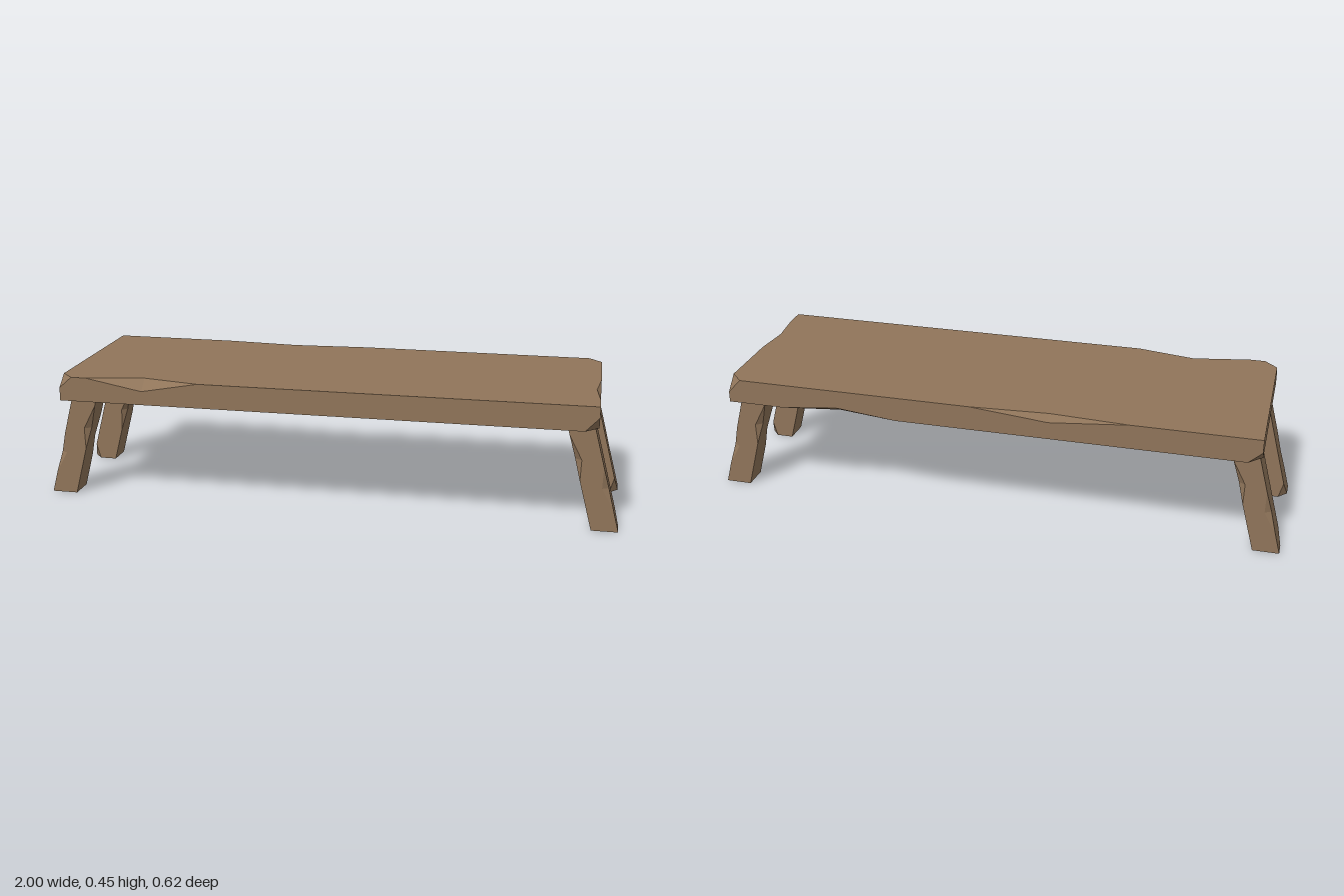
import * as THREE from 'three';

const wood = new THREE.MeshStandardMaterial({ color: 0x90755a });
wood.name = 'weathered wood';

// Box from min to max with hewn damage:
// corners: { at: signs, cut: lengths } slice a corner off;
// notches: { axis, at: signs, span: [from, apex, to], depth } carve a V into an edge.
function hewnBox(min, max, corners, notches) {
  const positions = [];
  const place = (signs) => signs.map((s, i) => (s > 0 ? max[i] : min[i]));
  const same = (a, b) => a.every((s, i) => s === b[i]);

  // Adds a triangle turned towards the outward direction
  const addTriangle = (a, b, c, outward) => {
    const [p, q, r] = [a, b, c].map((t) => new THREE.Vector3(...t));
    const normal = q.clone().sub(p).cross(r.clone().sub(p));
    const order = normal.dot(new THREE.Vector3(...outward)) > 0 ? [a, b, c] : [a, c, b];
    order.forEach((t) => positions.push(...t));
  };

  const towards = (corner, other, cut) => {
    const p = place(corner);
    corner.forEach((s, i) => { if (s !== other[i]) p[i] -= s * cut[i]; });
    return p;
  };
  const onEdge = (notch, value) => {
    const p = place(notch.at);
    p[notch.axis] = value;
    return p;
  };
  const apex = (notch, faceAxis) => {
    const p = onEdge(notch, notch.span[1]);
    const inset = 3 - faceAxis - notch.axis;
    p[inset] -= notch.at[inset] * notch.depth[inset];
    return p;
  };

  // Six faces, each outlined around its chips
  for (let axis = 0; axis < 3; axis++) {
    const u = (axis + 1) % 3, v = (axis + 2) % 3;
    for (const side of [-1, 1]) {
      const ring = [[-1, -1], [1, -1], [1, 1], [-1, 1]].map(([a, b]) => {
        const signs = [0, 0, 0];
        signs[axis] = side; signs[u] = a; signs[v] = b;
        return signs;
      });
      const outline = [];
      ring.forEach((corner, i) => {
        const next = ring[(i + 1) % 4], previous = ring[(i + 3) % 4];
        const chip = corners.find((c) => same(c.at, corner));
        if (chip) outline.push(towards(corner, previous, chip.cut), towards(corner, next, chip.cut));
        else outline.push(place(corner));

        const along = corner.findIndex((s, k) => s !== next[k]);
        notches
          .filter((n) => n.axis === along && n.at.every((s, k) => k === along || s === corner[k]))
          .forEach((n) => {
            const points = [onEdge(n, n.span[0]), apex(n, axis), onEdge(n, n.span[2])];
            const rising = n.span[2] > n.span[0];
            outline.push(...((next[along] > 0) === rising ? points : points.reverse()));
          });
      });
      const outward = [0, 0, 0];
      outward[axis] = side;
      const flat = outline.map((p) => new THREE.Vector2(p[u], p[v]));
      THREE.ShapeUtils.triangulateShape(flat, []).forEach(([a, b, c]) =>
        addTriangle(outline[a], outline[b], outline[c], outward));
    }
  }

  // Facets of the cut corners
  for (const { at, cut } of corners) {
    const [a, b, c] = [0, 1, 2].map((i) => towards(at, at.map((s, k) => (k === i ? -s : s)), cut));
    addTriangle(a, b, c, at);
  }

  // Two facets in every notch
  for (const n of notches) {
    const [a, b] = [0, 1, 2].filter((i) => i !== n.axis).map((i) => apex(n, i));
    addTriangle(onEdge(n, n.span[0]), a, b, n.at);
    addTriangle(onEdge(n, n.span[2]), a, b, n.at);
  }

  const geometry = new THREE.BufferGeometry();
  geometry.setAttribute('position', new THREE.Float32BufferAttribute(positions, 3));
  return geometry;
}

// Plank with four cut corners and four edge notches
function seatGeometry() {
  const cut = [0.045, 0.04, 0.046];
  return hewnBox([-0.917, 0.367, -0.312], [0.917, 0.452, 0.312], [
    { at: [-1, 1, 1], cut },
    { at: [1, 1, -1], cut: [0.045, 0.048, 0.048] },
    { at: [1, -1, 1], cut: [0.045, 0.048, 0.046] },
    { at: [-1, -1, -1], cut },
  ], [
    { axis: 0, at: [0, 1, 1], span: [-0.82, -0.62, -0.42], depth: [0, 0.037, 0.04] },
    { axis: 0, at: [0, 1, -1], span: [-0.49, -0.22, 0.05], depth: [0, 0.025, 0.018] },
    { axis: 0, at: [0, -1, -1], span: [0.31, 0.52, 0.72], depth: [0, 0.022, 0.035] },
    { axis: 2, at: [1, 1, 0], span: [-0.02, 0.11, 0.24], depth: [0.014, 0.018, 0] },
  ]);
}

// Splayed leg: sx and sz tell which corner of the bench it stands under
function legGeometry(sx, sz) {
  const z = [0.148 * sz, 0.237 * sz];
  const geometry = hewnBox([-0.045, 0, Math.min(...z)], [0.045, 0.367, Math.max(...z)], [
    { at: [sx, -1, -sz], cut: [0.03, 0.055, 0.034] },
  ], [
    { axis: 1, at: [sx, 0, sz], span: [0.075, 0.15, 0.225], depth: [0.022, 0, 0.013] },
    { axis: 1, at: [-sx, 0, sz], span: [0.17, 0.245, 0.33], depth: [0.022, 0, 0.016] },
    { axis: 1, at: [-sx, 0, -sz], span: [0.12, 0.2, 0.28], depth: [0.018, 0, 0.018] },
  ]);
  // Lean outwards towards the floor
  const p = geometry.attributes.position;
  for (let i = 0; i < p.count; i++) {
    p.setX(i, p.getX(i) + sx * (0.955 - 0.264 * p.getY(i)));
  }
  return geometry;
}

export function createModel() {
  const bench = new THREE.Group();
  bench.name = 'bench';
  const add = (name, geometry) => {
    geometry.computeVertexNormals();
    const mesh = new THREE.Mesh(geometry, wood);
    mesh.name = name;
    bench.add(mesh);
  };

  add('seat', seatGeometry());
  for (const sx of [-1, 1]) {
    for (const sz of [-1, 1]) {
      add(`${sz > 0 ? 'front' : 'back'}${sx > 0 ? 'Left' : 'Right'}Leg`, legGeometry(sx, sz));
    }
  }
  return bench;
}
